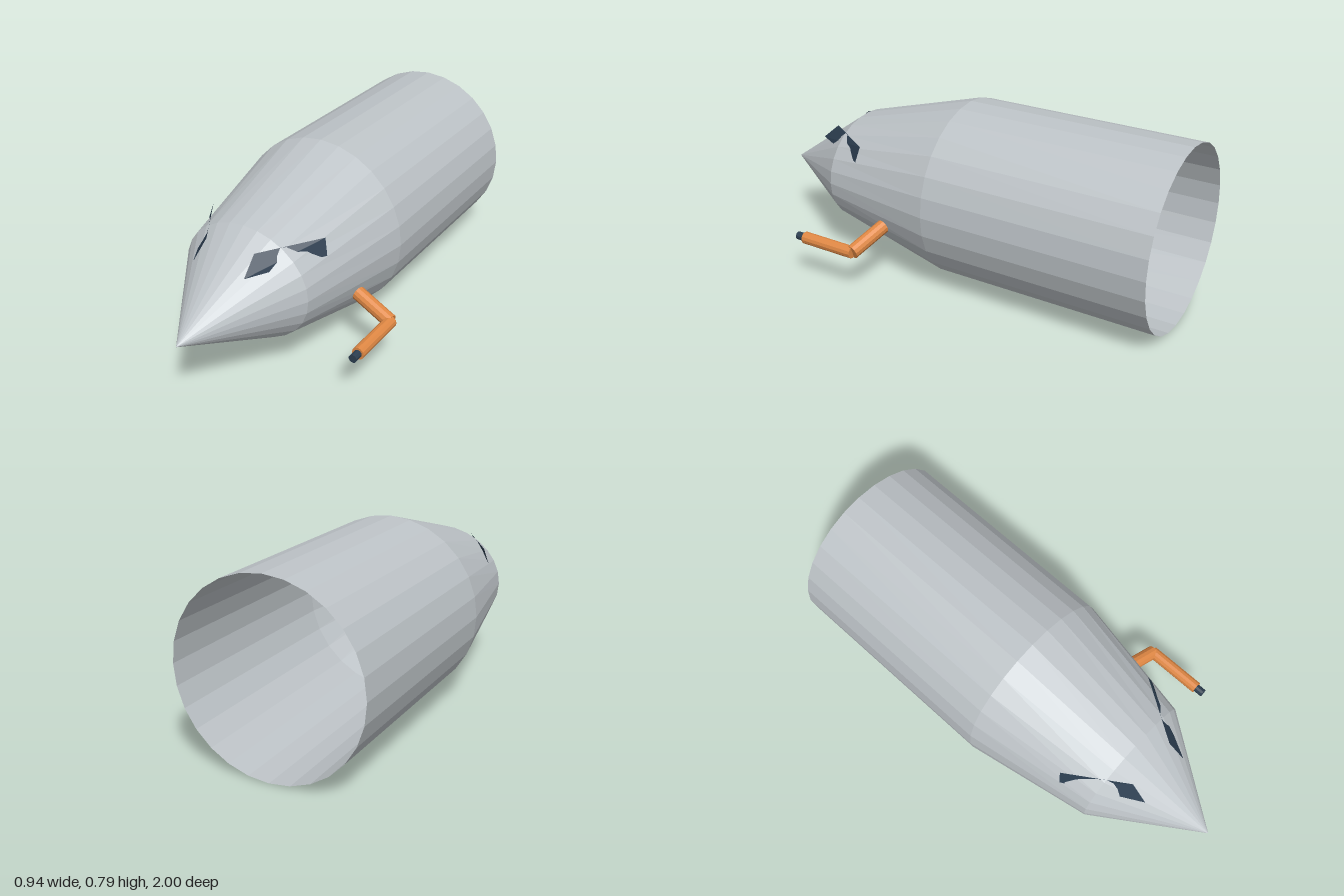
import * as THREE from 'three';

const SIDES = 28;
const CX = -0.07; // fuselage axis

function makeMaterial(name, color, options = {}) {
  const m = new THREE.MeshStandardMaterial({ color, flatShading: true, ...options });
  m.name = name;
  return m;
}

// Open shell lofted through elliptical rings { z, y, rx, ry }
function loft(rings) {
  const pos = [], index = [];
  for (const r of rings) {
    for (let i = 0; i < SIDES; i++) {
      const a = (i / SIDES) * Math.PI * 2;
      pos.push(CX + r.rx * Math.sin(a), r.y + r.ry * Math.cos(a), r.z);
    }
  }
  for (let k = 0; k < rings.length - 1; k++) {
    for (let i = 0; i < SIDES; i++) {
      const j = (i + 1) % SIDES;
      const a = k * SIDES + i, b = k * SIDES + j;
      const c = a + SIDES, d = b + SIDES;
      index.push(a, c, b);
      if (rings[k + 1].rx > 0) index.push(b, c, d); // the tip closes to a point
    }
  }
  const g = new THREE.BufferGeometry();
  g.setAttribute('position', new THREE.Float32BufferAttribute(pos, 3));
  g.setIndex(index);
  g.computeVertexNormals();
  return g;
}

// Flat four-cornered panel
function quad(corners) {
  const g = new THREE.BufferGeometry();
  g.setAttribute('position', new THREE.Float32BufferAttribute(corners.flat(), 3));
  g.setIndex([0, 1, 2, 0, 2, 3]);
  g.computeVertexNormals();
  return g;
}

// Cylinder between two points
function rod(name, from, to, radius, sides, material) {
  const a = new THREE.Vector3(...from), b = new THREE.Vector3(...to);
  const dir = b.clone().sub(a);
  const mesh = new THREE.Mesh(new THREE.CylinderGeometry(radius, radius, dir.length(), sides), material);
  mesh.position.copy(a).add(b).multiplyScalar(0.5);
  mesh.quaternion.setFromUnitVectors(new THREE.Vector3(0, 1, 0), dir.normalize());
  mesh.name = name;
  return mesh;
}

export function createModel() {
  const group = new THREE.Group();
  group.name = 'noseSection';
  const grey = makeMaterial('hullGrey', 0xbdc3c7, { side: THREE.DoubleSide });
  const dark = makeMaterial('darkBlue', 0x2c3e50, { side: THREE.DoubleSide });
  const orange = makeMaterial('probeOrange', 0xe08844);

  // Fuselage, open at the rear, with drooped nose cone
  const hull = new THREE.Mesh(loft([
    { z: -1, y: 0.396, rx: 0.402, ry: 0.396 },
    { z: 0, y: 0.396, rx: 0.402, ry: 0.396 },
    { z: 0.56, y: 0.382, rx: 0.299, ry: 0.252 },
    { z: 1, y: 0.322, rx: 0, ry: 0 },
  ]), grey);
  hull.name = 'fuselage';
  group.add(hull);

  // Flat cockpit windows; the hull shoulder pokes through the middle of each
  const pane = [
    [0.053, 0.517, 0.73], [0.225, 0.517, 0.415],
    [0.207, 0.586, 0.4], [0.045, 0.586, 0.65],
  ];
  for (const side of [1, -1]) {
    const corners = pane.map(([x, y, z]) => [CX + side * (x - CX), y, z]);
    const win = new THREE.Mesh(quad(side > 0 ? corners : corners.reverse()), dark);
    win.name = side > 0 ? 'leftWindow' : 'rightWindow';
    group.add(win);
  }

  // Bent probe on the left side
  const elbow = [0.443, 0.207, 0.28];
  group.add(
    rod('probeArm', [0.266, 0.267, 0.243], elbow, 0.031, 12, orange),
    rod('probeTube', [0.443, 0.207, 0.278], [0.443, 0.207, 0.54], 0.027, 12, orange),
    rod('probeTip', [0.443, 0.207, 0.53], [0.443, 0.207, 0.58], 0.018, 10, dark),
  );
  return group;
}
